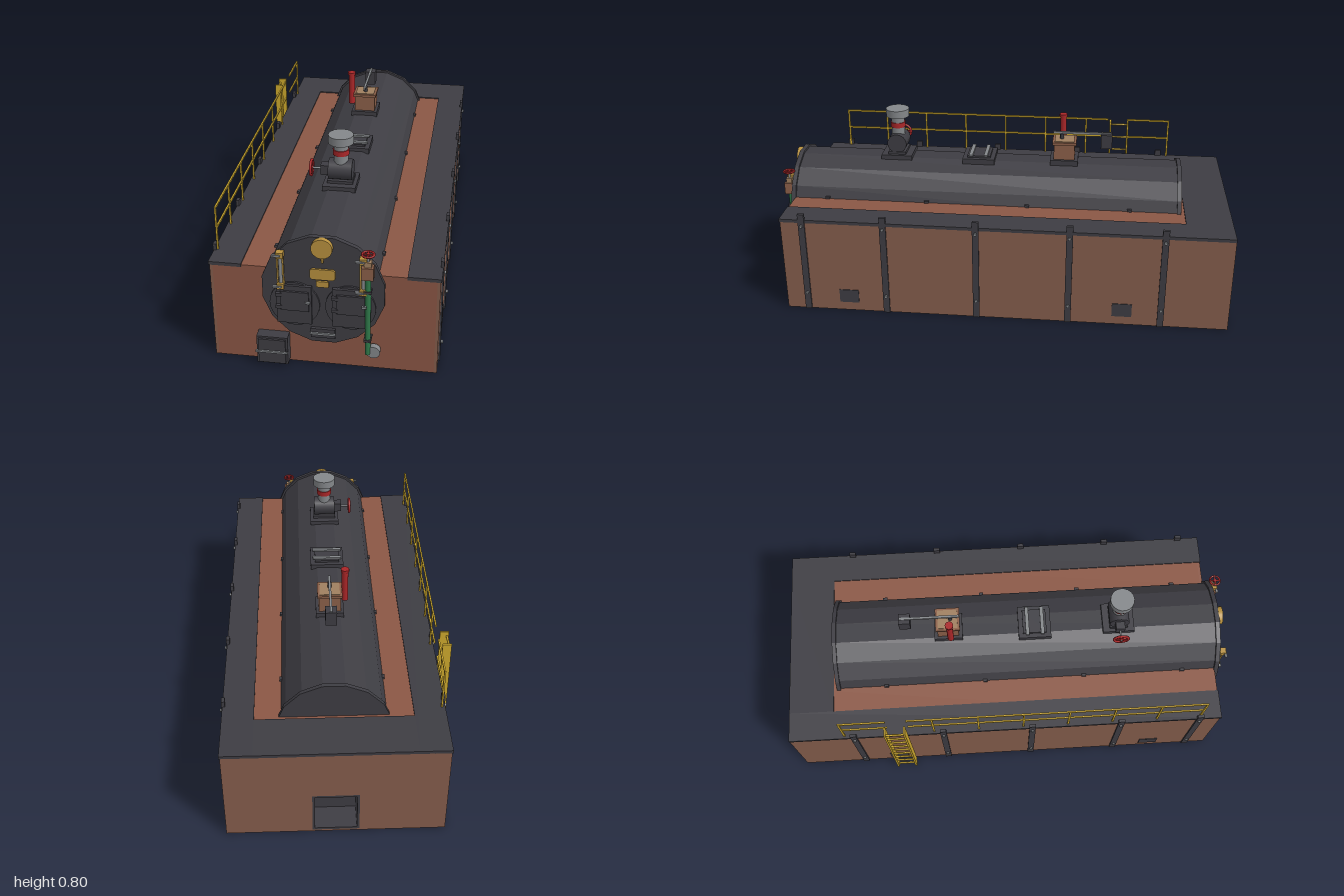
import * as THREE from 'three';

const mat = (name, color) => {
  const m = new THREE.MeshStandardMaterial({ color, side: THREE.DoubleSide });
  m.name = name;
  return m;
};

export function createModel() {
  const brick = mat('brick', 0x855d4c), redBrick = mat('red brick', 0x8b5745), iron = mat('dark iron', 0x3e3d43),
    steel = mat('steel', 0x84878a), red = mat('red paint', 0xaa2628), green = mat('green paint', 0x2f794a),
    yellow = mat('yellow paint', 0xcfaa2e), brass = mat('brass', 0xb8913f), copper = mat('copper', 0x8c6049),
    bronze = mat('pale bronze', 0xa08060);
  const root = new THREE.Group();
  root.name = 'boilerHouse';
  const CX = 0.015; // centre line of the boiler

  const add = (name, geo, m, x = 0, y = 0, z = 0, parent = root) => {
    const mesh = new THREE.Mesh(geo, m);
    mesh.name = name;
    mesh.position.set(x, y, z);
    parent.add(mesh);
    return mesh;
  };
  // box given by its limits on each axis
  const box = (name, m, x0, x1, y0, y1, z0, z1) =>
    add(name, new THREE.BoxGeometry(x1 - x0, y1 - y0, z1 - z0), m, (x0 + x1) / 2, (y0 + y1) / 2, (z0 + z1) / 2);
  // cylinder along a chosen axis
  const cyl = (name, m, r, len, axis, x, y, z, sides = 16) => {
    const g = new THREE.CylinderGeometry(r, r, len, sides);
    if (axis === 'x') g.rotateZ(Math.PI / 2);
    if (axis === 'z') g.rotateX(Math.PI / 2);
    return add(name, g, m, x, y, z);
  };
  const points = list => list.map(p => new THREE.Vector2(...p));
  const handWheel = (name, r, axis, x, y, z) => {
    const g = new THREE.Group();
    g.name = name;
    g.position.set(x, y, z);
    add('rim', new THREE.TorusGeometry(r, r * 0.19, 6, 16), red, 0, 0, 0, g);
    for (let i = 0; i < 2; i++)
      add('spoke', new THREE.BoxGeometry(r * 2, r * 0.28, r * 0.2), red, 0, 0, 0, g).rotation.z = i * Math.PI / 2;
    add('hub', new THREE.CylinderGeometry(r * 0.3, r * 0.3, r * 0.4, 10), red, 0, 0, 0, g).rotation.x = Math.PI / 2;
    if (axis === 'x') g.rotation.y = Math.PI / 2;
    if (axis === 'y') g.rotation.x = Math.PI / 2;
    root.add(g);
  };

  // Hollow brick setting, open below
  const T = 0.012, TOP = 0.433;
  box('sideWall', brick, -0.43, -0.43 + T, 0, 0.425, -1, 0.94);
  box('sideWall', brick, 0.46 - T, 0.46, 0, 0.425, -1, 0.94);
  box('frontWall', redBrick, -0.43 + T, 0.46 - T, 0, TOP, 0.94 - T, 0.94);
  const back = new THREE.Shape(points([[-0.43 + T, 0], [0.46 - T, 0], [0.46 - T, 0.425], [-0.43 + T, 0.425]]));
  back.holes.push(new THREE.Path(points([[-0.08, 0.008], [-0.08, 0.205], [0.11, 0.205], [0.11, 0.008]])));
  add('backWall', new THREE.ExtrudeGeometry(back, { depth: T, bevelEnabled: false }), brick, 0, 0, -1);
  box('brickRoof', redBrick, -0.43 + T, CX - 0.2, TOP - T, TOP, -1 + T, 0.94 - T);
  box('brickRoof', redBrick, CX + 0.2, 0.46 - T, TOP - T, TOP, -1 + T, 0.94 - T);
  box('brickRoof', redBrick, CX - 0.2, CX + 0.2, TOP - T, TOP, -1 + T, -0.77);

  // Iron-lined flue recess in the back wall
  box('flueBack', iron, -0.08, 0.11, 0.008, 0.205, -0.89, -0.88);
  box('flueFloor', iron, -0.08, 0.11, 0.008, 0.018, -1, -0.88);
  box('flueTop', iron, -0.08, 0.11, 0.195, 0.205, -1, -0.88);
  for (const x of [-0.08, 0.1]) box('flueSide', iron, x, x + 0.01, 0.008, 0.205, -1, -0.88);

  // Iron coping round three sides
  box('coping', iron, -0.434, -0.305, 0.424, 0.438, -1, 0.943);
  box('coping', iron, 0.335, 0.464, 0.424, 0.438, -1, 0.943);
  box('coping', iron, -0.305, 0.335, 0.424, 0.438, -1, -0.8);

  // Buckstays with tie rod ends, and side access doors
  for (const s of [-1, 1]) {
    const wall = CX + s * 0.445;
    for (const z of [0.845, 0.49, 0.09, -0.31, -0.71]) {
      box('buckstay', iron, wall - 0.007, wall + 0.007, 0, 0.465, z - 0.014, z + 0.014);
      for (const y of [0.083, 0.41]) cyl('tieRodEnd', steel, 0.007, 0.012, 'x', wall + s * 0.009, y, z, 6);
    }
    for (const z of [0.657, -0.543])
      box('accessDoor', iron, wall - 0.003, wall + 0.003, 0.04, 0.102, z - 0.043, z + 0.043);
  }

  // Boiler: upper shell and end plates
  const step = Math.PI / 8;
  const arc = (name, r, z0, z1, open) => {
    const g = new THREE.CylinderGeometry(r, r, z1 - z0, 7, 1, open, Math.PI - 3.5 * step, 7 * step);
    g.rotateX(Math.PI / 2);
    const flat = g.toNonIndexed();
    flat.computeVertexNormals();
    add(name, flat, iron, CX, 0.353, (z0 + z1) / 2);
  };
  arc('boilerShell', 0.231, -0.77, 0.94, true);
  arc('rearEndPlate', 0.24, -0.785, -0.767, false);
  const disc = new THREE.CylinderGeometry(0.241, 0.241, 0.02, 16, 1, false, step / 2);
  disc.rotateX(Math.PI / 2);
  add('frontPlate', disc.toNonIndexed(), iron, CX, 0.353, 0.946).geometry.computeVertexNormals();
  for (const z of [0.79, 0.34, -0.11, -0.56])
    for (const s of [-1, 1]) box('shellLug', iron, CX + s * 0.211 - 0.008, CX + s * 0.211 + 0.008, 0.425, 0.443, z - 0.01, z + 0.01);

  // Furnace doors
  for (const x of [-0.095, 0.122]) {
    cyl('furnaceRing', iron, 0.098, 0.012, 'z', x, 0.29, 0.958, 24);
    box('furnaceDoor', iron, x - 0.068, x + 0.068, 0.207, 0.377, 0.96, 0.974);
    box('doorPanel', iron, x - 0.052, x + 0.058, 0.27, 0.355, 0.974, 0.982);
    for (const y of [0.285, 0.34]) box('doorHinge', iron, x - 0.07, x - 0.045, y - 0.007, y + 0.007, 0.974, 0.986);
    box('doorHandle', steel, x + 0.046, x + 0.064, 0.309, 0.318, 0.98, 0.99);
  }
  box('mudDoor', iron, -0.034, 0.062, 0.143, 0.184, 0.956, 0.968);
  box('mudDoorBar', steel, -0.036, 0.064, 0.159, 0.168, 0.968, 0.975);

  // Pressure gauge and chamfered plate
  cyl('pressureGauge', brass, 0.041, 0.02, 'z', CX, 0.55, 0.965, 20);
  cyl('gaugePipe', brass, 0.005, 0.04, 'y', CX, 0.505, 0.962, 8);
  const plate = new THREE.Shape(points([[-0.049, -0.015], [-0.041, -0.023], [0.041, -0.023], [0.049, -0.015],
    [0.049, 0.015], [0.041, 0.023], [-0.041, 0.023], [-0.049, 0.015]]));
  add('brassPlate', new THREE.ExtrudeGeometry(plate, { depth: 0.009, bevelEnabled: false }), brass, CX, 0.431, 0.955);
  box('smallPlate', brass, -0.01, 0.038, 0.375, 0.4, 0.955, 0.964);

  // Water gauges
  for (const x of [-0.145, 0.172]) {
    for (const y of [0.375, 0.512]) {
      box('gaugeCock', brass, x - 0.014, x + 0.014, y - 0.012, y + 0.012, 0.955, 0.982);
      box('cockHandle', steel, x - 0.03, x + 0.005, y - 0.004, y + 0.004, 0.976, 0.986);
    }
    for (const d of [-0.011, 0.011]) box('gaugeGuard', brass, x + d - 0.003, x + d + 0.003, 0.385, 0.505, 0.966, 0.972);
    cyl('gaugeGlass', steel, 0.007, 0.13, 'y', x, 0.443, 0.967, 10);
  }

  // Feed pipe and its valve
  cyl('feedPipe', green, 0.011, 0.36, 'y', 0.19, 0.27, 0.972, 14);
  for (const y of [0.157, 0.38]) box('pipeClamp', iron, 0.175, 0.204, y - 0.005, y + 0.005, 0.942, 0.986);
  box('feedValve', copper, 0.166, 0.212, 0.44, 0.492, 0.952, 0.992);
  box('valveBonnet', bronze, 0.176, 0.204, 0.492, 0.513, 0.96, 0.984);
  cyl('valveStem', steel, 0.005, 0.03, 'y', 0.19, 0.526, 0.972, 8);
  handWheel('feedWheel', 0.023, 'y', 0.19, 0.543, 0.972);
  cyl('feedFlange', steel, 0.026, 0.025, 'z', 0.213, 0.1, 0.965, 18);

  // Ash box at the foot of the front wall
  box('ashBox', iron, -0.248, -0.124, 0.013, 0.138, 0.94, 0.985);
  box('ashBoxDoor', iron, -0.24, -0.132, 0.02, 0.13, 0.985, 0.993);
  box('ashBoxBar', steel, -0.25, -0.122, 0.071, 0.079, 0.993, 1);

  // Stop valve with steam outlet
  const VZ = 0.498;
  box('valveSaddle', iron, CX - 0.068, CX + 0.068, 0.575, 0.596, VZ - 0.07, VZ + 0.07);
  box('valveFoot', iron, CX - 0.053, CX + 0.053, 0.596, 0.608, VZ - 0.04, VZ + 0.04);
  cyl('valveBody', iron, 0.044, 0.098, 'x', CX, 0.645, VZ, 16);
  cyl('steamOutlet', steel, 0.03, 0.11, 'y', CX, 0.72, VZ);
  cyl('outletBand', red, 0.034, 0.023, 'y', CX, 0.726, VZ);
  cyl('outletFlange', steel, 0.052, 0.035, 'y', CX, 0.783, VZ, 18);
  box('valveGland', iron, -0.068, -0.03, 0.622, 0.664, VZ - 0.02, VZ + 0.02);
  cyl('valveSpindle', steel, 0.005, 0.06, 'x', -0.088, 0.643, VZ, 8);
  handWheel('stopWheel', 0.032, 'x', -0.108, 0.643, VZ);

  // Manway
  box('manwayBase', iron, CX - 0.075, CX + 0.075, 0.57, 0.595, 0.05, 0.195);
  box('manwayCover', iron, CX - 0.055, CX + 0.055, 0.595, 0.604, 0.07, 0.175);
  for (const z of [0.09, 0.157]) box('manwayBar', steel, CX - 0.065, CX + 0.065, 0.604, 0.612, z - 0.008, z + 0.008);

  // Lever safety valve with counterweight and vent pipe
  box('safetyBase', iron, CX - 0.06, CX + 0.06, 0.57, 0.598, -0.325, -0.2);
  box('safetyBody', copper, CX - 0.047, CX + 0.047, 0.598, 0.668, -0.309, -0.216);
  box('safetyCap', copper, CX - 0.053, CX + 0.053, 0.668, 0.68, -0.316, -0.209);
  box('safetyTopPlate', bronze, CX - 0.043, CX + 0.043, 0.68, 0.683, -0.306, -0.219);
  cyl('leverPost', iron, 0.009, 0.03, 'y', CX, 0.692, -0.25, 8);
  box('lever', steel, CX - 0.005, CX + 0.005, 0.706, 0.716, -0.47, -0.21);
  box('counterweight', iron, CX - 0.024, CX + 0.024, 0.648, 0.712, -0.475, -0.425);
  cyl('ventPipe', red, 0.014, 0.155, 'y', -0.051, 0.697, -0.252);
  cyl('ventCollar', red, 0.018, 0.012, 'y', -0.051, 0.77, -0.252);

  // Handrail, with a gap at the ladder
  for (const [z0, z1] of [[-0.46, 0.85], [-0.755, -0.55]])
    for (const y of [0.533, 0.621]) box('handrail', yellow, -0.424, -0.417, y - 0.004, y + 0.004, z0, z1);
  for (const z of [0.846, 0.65, 0.45, 0.25, 0.05, -0.15, -0.35, -0.751])
    box('railPost', yellow, -0.424, -0.417, 0.438, 0.624, z - 0.004, z + 0.004);

  // Ladder
  for (const z of [-0.555, -0.47]) box('ladderRail', yellow, -0.475, -0.438, 0, 0.6, z - 0.004, z + 0.004);
  for (let i = 0; i < 9; i++) cyl('ladderRung', yellow, 0.005, 0.085, 'z', -0.468, 0.05 + i * 0.066, -0.5125, 6);

  return root;
}
